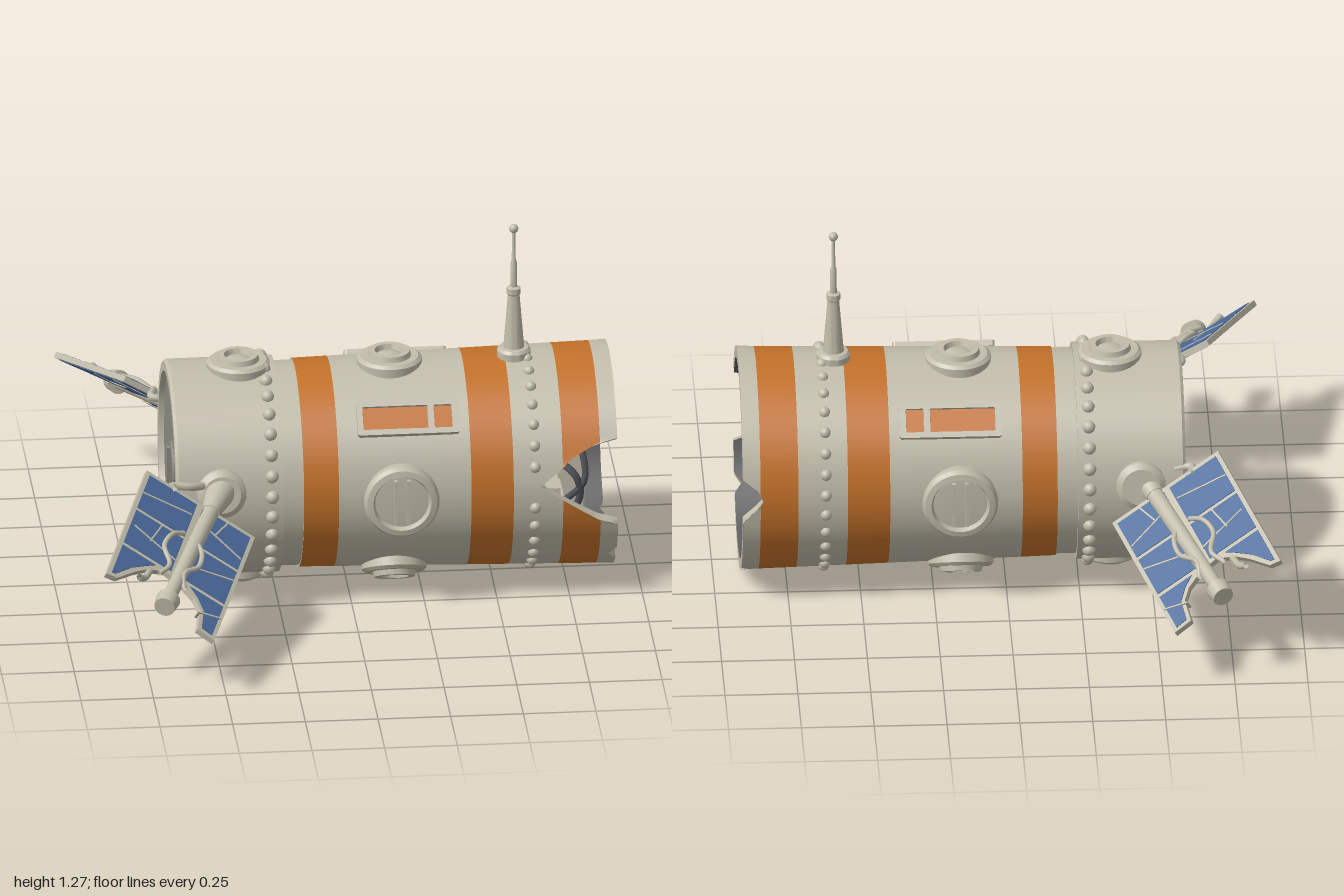
import * as THREE from 'three';
import { mergeGeometries, toCreasedNormals } from 'three/addons/utils/BufferGeometryUtils.js';

const CY = 0.42, CZ = -0.035, SEG = 180;
const rad = d => d * Math.PI / 180;
const V = (x, y, z) => new THREE.Vector3(x, y, z);

// Torn right end of the hull: [angle in degrees, x of the edge]
const TEAR = [[-180, 0.86], [-172, 0.91], [-128, 0.91], [-124, 0.89], [-118, 0.91], [-48, 0.91], [-42, 0.885], [-36, 0.91],
  [-18, 0.91], [-14, 0.84], [-6, 0.76], [-2, 0.72], [6, 0.645], [14, 0.71], [20, 0.75], [26, 0.82], [28, 0.86], [30, 0.91],
  [164, 0.91], [170, 0.86], [176, 0.84], [180, 0.86]];
function edge(deg) {
  const i = Math.max(1, TEAR.findIndex(p => p[0] >= deg));
  const [a, b] = [TEAR[i - 1], TEAR[i]];
  return a[1] + (b[1] - a[1]) * (deg - a[0]) / (b[0] - a[0]);
}

export function createModel() {
  const model = new THREE.Group();
  model.name = 'spaceStationModule';
  const mat = (name, color, side = THREE.FrontSide) => {
    const m = new THREE.MeshStandardMaterial({ color, side });
    m.name = name;
    return m;
  };
  const cream = mat('cream hull', 0xc2bdab), orange = mat('orange paint', 0xc4722a);
  const blue = mat('solar blue', 0x4a6a9c), dark = mat('dark interior', 0x5f5f61, THREE.DoubleSide);
  const grey = mat('grey hatch', 0x8d8b82), door = mat('door grey', 0x4e5157);

  const add = (name, geo, material, parent = model) => {
    const m = new THREE.Mesh(geo, material);
    m.name = name;
    parent.add(m);
    return m;
  };
  const box = (name, size, pos, material, parent) => {
    const m = add(name, new THREE.BoxGeometry(...size), material, parent);
    m.position.set(...pos);
    return m;
  };
  const tube = (name, pts, r, material, parent) =>
    add(name, new THREE.TubeGeometry(new THREE.CatmullRomCurve3(pts.map(p => V(...p))), 20, r, 7), material, parent);
  // Tapered rod between two points
  const rod = (name, a, b, ra, rb, material, parent) => {
    const d = b.clone().sub(a);
    const m = add(name, new THREE.CylinderGeometry(rb, ra, d.length(), 20), material, parent);
    m.position.copy(a).add(b).multiplyScalar(0.5);
    m.quaternion.setFromUnitVectors(V(0, 1, 0), d.normalize());
    return m;
  };
  // Group on the hull whose local y points outward
  const onHull = (name, x, deg, r) => {
    const g = new THREE.Group(), a = rad(deg);
    g.name = name;
    g.position.set(x, CY + r * Math.sin(a), CZ + r * Math.cos(a));
    g.rotation.x = Math.PI / 2 - a;
    model.add(g);
    return g;
  };
  const lathe = pts => toCreasedNormals(
    new THREE.LatheGeometry(pts.map(p => new THREE.Vector2(...p)), 40), 0.5);

  // Ring of hull around the x axis, trimmed by the torn edge
  function shell(name, x0, r0, x1, r1, material, flip = false) {
    const pos = [], idx = [];
    for (let i = 0; i < SEG; i++) {
      const deg = -180 + i * 360 / SEG, a = rad(deg), e = edge(deg);
      for (const [x, r] of [[x0, r0], [x1, r1]])
        pos.push(Math.min(x, e), CY + r * Math.sin(a), CZ + r * Math.cos(a));
    }
    for (let i = 0; i < SEG; i++) {
      const a = 2 * i, b = a + 1, c = 2 * ((i + 1) % SEG), d = c + 1;
      if (r0 !== r1 && x0 === x1 || pos[3 * a] !== pos[3 * b] || pos[3 * c] !== pos[3 * d])
        idx.push(...(flip ? [a, c, b, b, c, d] : [a, b, c, b, d, c]));
    }
    const g = new THREE.BufferGeometry();
    g.setAttribute('position', new THREE.Float32BufferAttribute(pos, 3));
    g.setIndex(idx);
    // Orient the ring so it faces outward (or inward when flipped)
    g.computeVertexNormals();
    return add(name, g, material);
  }

  // Hull bands
  const skin = (x) => 0.358 + 0.025 * (x + 0.17) / 1.08;
  cream.side = orange.side = THREE.DoubleSide;
  shell('rearRim', -0.61, 0.33, -0.61, 0.362, cream);
  shell('rearRimBevel', -0.61, 0.362, -0.6, 0.37, cream);
  shell('rearHull', -0.6, 0.37, -0.24, 0.372, cream);
  shell('rearStep', -0.24, 0.372, -0.24, 0.352, cream);
  shell('neck', -0.24, 0.352, -0.17, 0.352, cream);
  shell('neckStep', -0.17, 0.352, -0.17, 0.358, cream);
  const bands = [-0.17, -0.05, 0.405, 0.55, 0.72, 0.85, 0.95];
  for (let i = 0; i < 6; i++)
    shell(i % 2 ? 'hullBand' : 'orangeBand', bands[i], skin(bands[i]), bands[i + 1], skin(bands[i + 1]), i % 2 ? cream : orange);
  shell('tornRim', 0.95, 0.383, 0.95, 0.345, cream);
  shell('innerWall', 0.64, 0.345, 0.95, 0.345, dark, true);

  // Rivet rings
  for (const [x, r, s] of [[-0.28, 0.372, 0.023], [0.625, 0.374, 0.02]]) {
    const geos = [];
    for (let i = 0; i < 32; i++) {
      const a = rad(i * 11.25 + 5);
      if (x > 0 && i < 1) continue;
      geos.push(new THREE.SphereGeometry(s, 10, 8).translate(x, CY + r * Math.sin(a), CZ + r * Math.cos(a)));
    }
    add('rivetRing', mergeGeometries(geos), cream);
  }

  // Portholes and hatch fixtures
  const bigPort = g => {
    add('portRing', lathe([[0.13, -0.05], [0.13, 0.004], [0.12, 0.02], [0.1, 0.024], [0.092, 0.006], [0, 0.012]]), cream, g);
    for (const x of [-0.022, 0.022]) box('portBar', [0.012, 0.02, 0.165], [x, 0.012, 0], cream, g);
  };
  const smallPort = (g, k = 1) => add('fixture', lathe([[0.112, -0.05], [0.112, 0.012], [0.1, 0.022], [0.075, 0.022],
    [0.07, 0.04], [0.05, 0.04], [0.044, 0.022], [0.03, 0.028], [0, 0.03]].map(p => [p[0] * k, p[1]])), cream, g);
  for (const a of [0, 180]) bigPort(onHull('sidePorthole', 0.165, a, 0.37));
  for (const a of [90, -60, -120]) smallPort(onHull('midFixture', 0.155, a, 0.367));
  for (const a of [90, -90]) smallPort(onHull('rearFixture', -0.365, a, 0.371), 0.97);

  // Rounded rectangle outlines, as shape or hole
  const rounded = (T, x0, y0, x1, y1, r) => {
    const s = new T();
    s.moveTo(x0 + r, y0);
    for (const [cx, cy, a] of [[x1 - r, y0 + r, -90], [x1 - r, y1 - r, 0], [x0 + r, y1 - r, 90], [x0 + r, y0 + r, 180]])
      s.absarc(cx, cy, r, rad(a), rad(a + 90), false);
    return s;
  };

  // Long side windows
  for (const a of [45, 135]) {
    const g = onHull('sideWindow', 0.195, a, 0.362);
    const s = rounded(THREE.Shape, -0.175, -0.062, 0.175, 0.062, 0.01);
    s.holes.push(rounded(THREE.Path, -0.155, -0.042, 0.07, 0.042, 0.006), rounded(THREE.Path, 0.09, -0.042, 0.152, 0.042, 0.006));
    add('windowFrame', new THREE.ExtrudeGeometry(s, { depth: 0.022, bevelEnabled: false }).rotateX(-Math.PI / 2), cream, g);
    box('longPane', [0.222, 0.008, 0.08], [-0.043, 0.011, 0], orange, g);
    box('shortPane', [0.06, 0.008, 0.08], [0.121, 0.011, 0], orange, g);
  }

  // Rear hatch
  shell('rearRecess', -0.61, 0.33, -0.59, 0.325, cream);
  const cap = new THREE.Group();
  cap.name = 'rearHatch';
  cap.position.set(-0.59, CY, CZ);
  cap.rotation.z = Math.PI / 2;
  model.add(cap);
  add('hatchDisc', new THREE.CircleGeometry(0.33, 64).rotateX(-Math.PI / 2), grey, cap);
  add('hatchRing', new THREE.TorusGeometry(0.08, 0.01, 8, 40).rotateX(Math.PI / 2), grey, cap);
  box('hatchHandle', [0.15, 0.024, 0.024], [0, 0.008, 0], grey, cap);

  // Exposed interior: bulkhead, doorway, beam, equipment and cables
  const bulk = add('bulkhead', new THREE.CircleGeometry(0.347, 64).rotateY(Math.PI / 2), dark);
  bulk.position.set(0.645, CY, CZ);
  const frame = rounded(THREE.Shape, -0.125, -0.192, 0.125, 0.192, 0.035);
  frame.holes.push(rounded(THREE.Path, -0.09, -0.157, 0.09, 0.157, 0.025));
  add('doorFrame', new THREE.ExtrudeGeometry(frame, { depth: 0.15, bevelSize: 0.006, bevelThickness: 0.006, bevelSegments: 2 })
    .rotateY(Math.PI / 2), cream).position.set(0.66, 0.337, -0.027);
  box('doorPanel', [0.02, 0.32, 0.19], [0.68, 0.337, -0.027], door);
  for (const s of [1, -1]) {
    box('crossBeam', [0.05, 0.11, 0.19], [0.69, 0.37, -0.027 + s * 0.215], cream);
    box('beamRib', [0.06, 0.025, 0.19], [0.7, 0.37, -0.027 + s * 0.215], cream);
    tube('wallCable', [[0.68, 0.6, -0.03 + s * 0.1], [0.76, 0.55, -0.03 + s * 0.18], [0.78, 0.58, -0.03 + s * 0.25],
      [0.8, 0.45, -0.03 + s * 0.3], [0.72, 0.35, -0.03 + s * 0.27]], 0.012, door);
  }
  box('controlBox', [0.1, 0.08, 0.1], [0.7, 0.635, -0.03], cream);
  box('controlBoxSmall', [0.08, 0.07, 0.08], [0.7, 0.635, 0.08], cream);
  for (const y of [0.62, 0.65]) box('controlSlot', [0.006, 0.014, 0.05], [0.741, y, 0.08], door);
  box('wallLocker', [0.07, 0.1, 0.1], [0.69, 0.63, -0.16], dark);
  tube('frontCable', [[0.68, 0.53, 0.22], [0.77, 0.46, 0.27], [0.78, 0.36, 0.25], [0.69, 0.28, 0.22]], 0.013, door);

  // Antenna
  const antenna = add('antennaMast', lathe([[0.058, 0.77], [0.058, 0.815], [0.05, 0.825], [0.036, 0.827], [0.033, 0.86],
    [0.02, 1.02], [0.024, 1.025], [0.024, 1.045], [0.012, 1.05], [0.011, 1.14], [0.007, 1.15], [0.006, 1.26], [0, 1.26]]), cream);
  antenna.position.set(0.583, 0, CZ + 0.005);
  add('antennaTip', new THREE.SphereGeometry(0.016, 12, 10), cream).position.set(0.583, 1.265, CZ + 0.005);

  // Solar wings, s = 1 front and -1 back
  const poly = (pts, depth) => new THREE.ExtrudeGeometry(new THREE.Shape(pts.map(p => new THREE.Vector2(...p))),
    { depth, bevelEnabled: false }).rotateX(Math.PI / 2).translate(0, depth / 2, 0);
  const outline = [[-0.22, 0], [0.22, 0], [0.22, 0.6], [0.15, 0.595], [0.135, 0.5], [0.1, 0.46], [0.04, 0.43],
    [-0.03, 0.42], [-0.09, 0.46], [-0.13, 0.51], [-0.18, 0.59], [-0.22, 0.6]];
  const cells = [[[-0.13, 0.42], [-0.205, 0.42], [-0.205, 0.58], [-0.19, 0.575], [-0.145, 0.5], [-0.1, 0.45], [-0.07, 0.42]],
    [[0.07, 0.42], [0.205, 0.42], [0.205, 0.585], [0.162, 0.58], [0.147, 0.495], [0.11, 0.45]]];
  for (const x of [-0.205, 0.012]) for (const z of [0.018, 0.218])
    cells.push([[x, z], [x + 0.193, z], [x + 0.193, z + 0.185], [x, z + 0.185]]);
  for (const s of [1, -1]) {
    const wing = new THREE.Group();
    wing.name = s > 0 ? 'frontSolarWing' : 'backSolarWing';
    model.add(wing);
    const panel = new THREE.Group();
    panel.name = 'solarPanel';
    const u = V(-0.19, -0.14, 0.555 * s).normalize();
    const n = V(0.46, 0.81, 0.36 * s).normalize();
    const x = n.clone().cross(u).normalize();
    panel.quaternion.setFromRotationMatrix(new THREE.Matrix4().makeBasis(x, u.clone().cross(x), u));
    panel.position.set(-0.54, 0.475, 0.435 * s);
    wing.add(panel);
    const flip = pts => pts.map(p => [p[0] * s, p[1]]);
    add('panelPlate', poly(flip(outline), 0.02), cream, panel);
    add('solarCells', mergeGeometries(cells.map(c => poly(flip(c), 0.025))), blue, panel);
    // Cracks across the cells
    for (const [cx, cz, len, a] of [[-0.11, 0.1, 0.19, 0.2], [0.11, 0.12, 0.19, -0.3], [-0.1, 0.32, 0.19, -0.25],
      [0.12, 0.3, 0.18, 0.35], [0.1, 0.06, 0.1, 1.3], [-0.11, 0.27, 0.11, 1.4], [0.17, 0.5, 0.09, 0.4]])
      box('crack', [len, 0.03, 0.006], [cx * s, 0, cz], cream, panel).rotation.y = a * s;
    for (const k of [-1, 1])
      tube('looseWire', [[k * 0.02, 0.02, 0.2], [k * 0.06, 0.03, 0.25], [k * 0.07, 0.025, 0.32], [k * 0.03, 0.03, 0.4],
        [k * 0.05, 0.02, 0.46]], 0.009, cream, panel);
    tube('brokenHook', [[-0.08 * s, 0, 0.45], [-0.09 * s, 0.01, 0.51], [-0.11 * s, 0.02, 0.535]], 0.012, cream, panel);

    // Boom, collar and end knob
    const a = V(-0.455, 0.48, 0.32 * s), b = V(-0.7, 0.345, 0.955 * s), mid = a.clone().lerp(b, 0.2);
    rod('boomCone', a, mid, 0.055, 0.032, cream, wing);
    rod('boom', mid, b, 0.03, 0.024, cream, wing);
    const dir = b.clone().sub(a).normalize();
    rod('boomEnd', b.clone().addScaledVector(dir, -0.02), b.clone().addScaledVector(dir, 0.03), 0.042, 0.036, cream, wing);
    const collar = onHull('boomCollar', -0.455, s > 0 ? 8 : 172, 0.37);
    add('collar', lathe([[0.085, -0.04], [0.085, 0.012], [0.065, 0.025], [0, 0.025]]), cream, collar);
    tube('hullPipe', [[-0.5, 0.5, 0.32 * s], [-0.56, 0.52, 0.375 * s], [-0.63, 0.53, 0.385 * s], [-0.62, 0.53, 0.45 * s]], 0.014, cream, wing);
  }
  return model;
}
